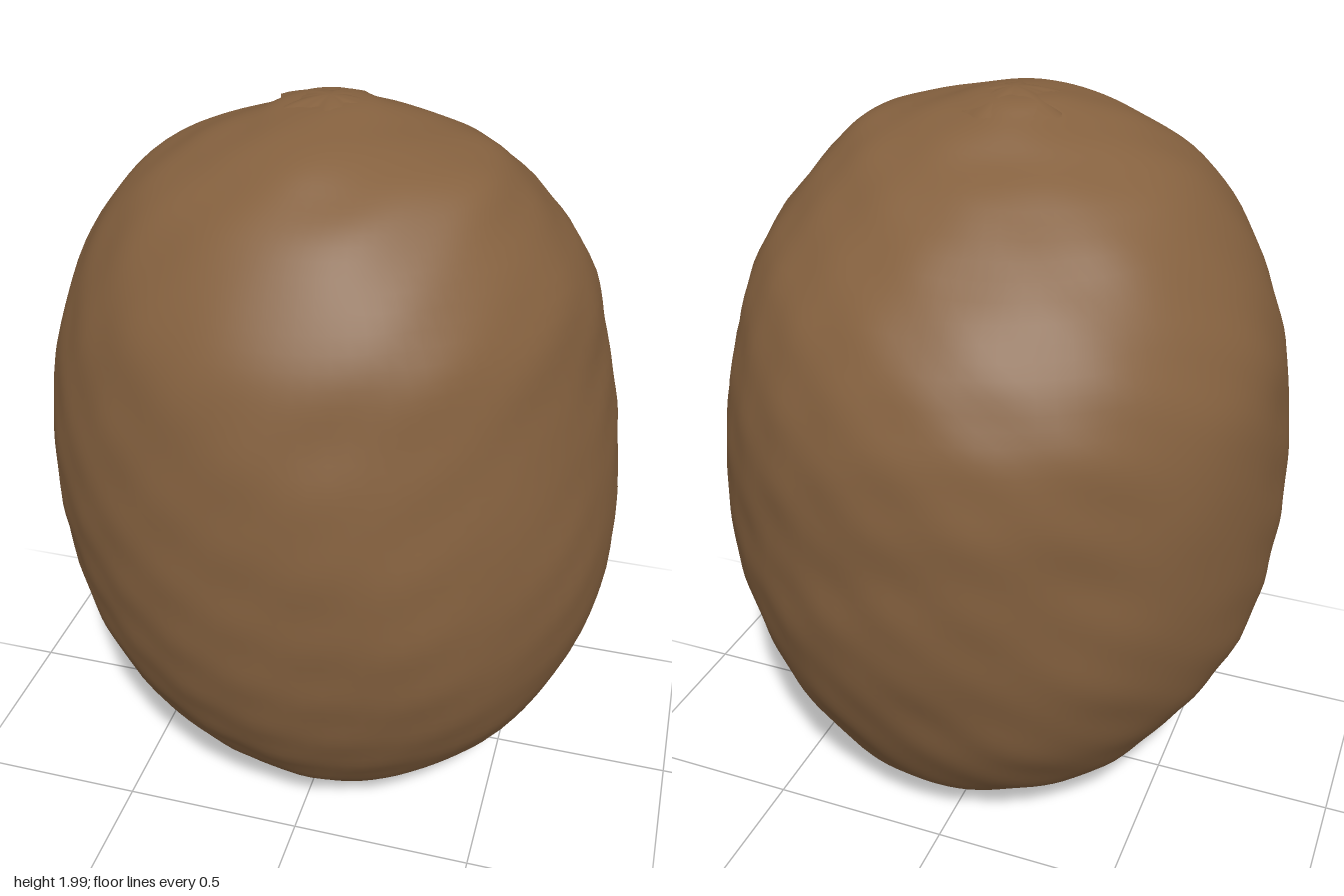
import * as THREE from 'three';

const fuzzyBrown = new THREE.MeshStandardMaterial({ color: 0x85613f });
fuzzyBrown.name = 'fuzzyBrown';

// Cross-sections from bottom to top: height, extent to -x, +x, +z, -z
const SECTIONS = [
  [0.05, 0.18, 0.28, 0.22, 0.24],
  [0.10, 0.33, 0.38, 0.34, 0.38],
  [0.20, 0.475, 0.515, 0.48, 0.495],
  [0.40, 0.625, 0.655, 0.62, 0.615],
  [0.60, 0.72, 0.73, 0.70, 0.685],
  [0.80, 0.757, 0.76, 0.743, 0.733],
  [1.00, 0.77, 0.757, 0.76, 0.75],
  [1.20, 0.76, 0.73, 0.755, 0.757],
  [1.40, 0.728, 0.685, 0.725, 0.722],
  [1.60, 0.645, 0.625, 0.67, 0.615],
  [1.80, 0.505, 0.485, 0.53, 0.40],
  [1.90, 0.345, 0.375, 0.395, 0.23],
  [1.955, 0.20, 0.18, 0.28, 0.13],
  [1.985, 0.12, 0.08, 0.14, 0.06],
  [1.993, 0, 0, 0.04, -0.04],
];

// Gentle dents and fine roughness of the skin
function roughness(x, y, z) {
  const broad = Math.sin(5 * x + 3 * y + 1) * Math.sin(4 * z - 5 * y) * Math.cos(6 * x - 4 * z);
  const fine = Math.sin(17 * x + 9 * z + 2) * Math.sin(19 * y - 8 * x) * Math.sin(16 * z + 11 * y);
  return 0.005 * broad + 0.005 * fine;
}

// Joins rings of points into a smooth closed-around surface
function ringSurface(rings, segments, pointAt) {
  const positions = [], index = [];
  for (let i = 0; i <= rings; i++) {
    for (let j = 0; j < segments; j++) {
      const p = pointAt(i / rings, (j / segments) * Math.PI * 2);
      positions.push(p.x, p.y, p.z);
      if (i === rings) continue;
      const k = (j + 1) % segments;
      const a = i * segments + j, b = i * segments + k;
      index.push(a, b, a + segments, b, b + segments, a + segments);
    }
  }
  const geometry = new THREE.BufferGeometry();
  geometry.setAttribute('position', new THREE.Float32BufferAttribute(positions, 3));
  geometry.setIndex(index);
  geometry.computeVertexNormals();
  return geometry;
}

function bodyGeometry() {
  const smooth = (f) => new THREE.CatmullRomCurve3(SECTIONS.map(f), false, 'catmullrom', 0.5);
  const size = smooth(([y, l, r, f, b]) => new THREE.Vector3((l + r) / 2, y, (f + b) / 2));
  const centre = smooth(([y, l, r, f, b]) => new THREE.Vector3((r - l) / 2, y, (f - b) / 2));
  return ringSurface(84, 96, (t, angle) => {
    const s = size.getPoint(t), c = centre.getPoint(t);
    const out = new THREE.Vector3(Math.sin(angle) * s.x, 0, Math.cos(angle) * s.z);
    const p = new THREE.Vector3(c.x, s.y, c.z).add(out);
    const bump = roughness(p.x, p.y, p.z);
    out.setY((s.y - 1) * 0.7).normalize();
    return p.addScaledVector(out, bump);
  });
}

// Ragged lip, sunken ring and raised button at the bottom
function scarGeometry() {
  const profile = new THREE.CatmullRomCurve3([
    [0, 0.04], [0.06, 0.038], [0.10, 0.045], [0.13, 0.07], [0.165, 0.065],
    [0.19, 0.03], [0.21, 0.025], [0.235, 0.045], [0.28, 0.09],
  ].map(([r, y]) => new THREE.Vector3(r, y, 0)));
  return ringSurface(36, 72, (t, angle) => {
    const q = profile.getPoint(t);
    const lip = Math.exp(-(((q.x - 0.205) / 0.03) ** 2));
    const ragged = Math.sin(7 * angle) * Math.sin(4 * angle + 1) + 0.5 * Math.sin(17 * angle);
    const r = q.x * (1 + 0.025 * Math.sin(5 * angle + 0.6) + 0.02 * lip * ragged);
    const x = 0.055 + r * Math.sin(angle), z = -0.01 + r * Math.cos(angle);
    const y = q.y + 0.011 * lip * ragged + 1.2 * roughness(x * 2, 0, z * 2 + 0.5);
    return new THREE.Vector3(x, y, z);
  });
}

// Low ragged crust on the crown
function crownGeometry() {
  return ringSurface(12, 48, (t, angle) => {
    const r = 0.15 * (1 - t) * (1 + 0.12 * Math.sin(5 * angle) + 0.06 * Math.sin(11 * angle));
    const y = 1.96 + 0.04 * Math.sin((t * Math.PI) / 2);
    return new THREE.Vector3(-0.02 + r * Math.sin(angle), y, 0.03 + r * Math.cos(angle));
  });
}

export function createModel() {
  const group = new THREE.Group();
  group.name = 'fruit';
  const parts = { body: bodyGeometry(), stemScar: scarGeometry(), crown: crownGeometry() };
  for (const [name, geometry] of Object.entries(parts)) {
    const mesh = new THREE.Mesh(geometry, fuzzyBrown);
    mesh.name = name;
    group.add(mesh);
  }
  return group;
}
